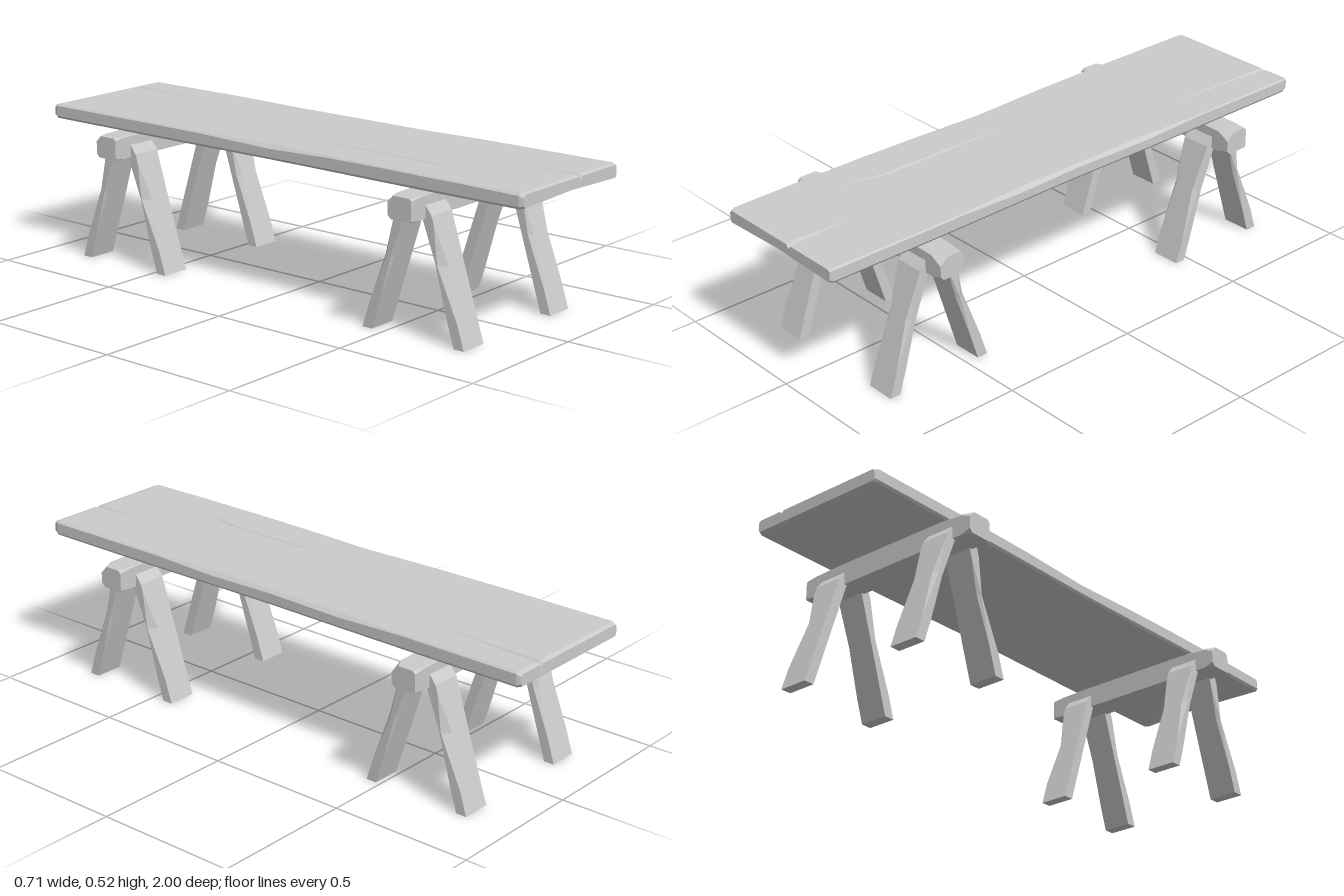
import * as THREE from 'three';

const material = new THREE.MeshStandardMaterial({ color: 0xcccccc, flatShading: true });

// Solid skinned through counter-clockwise [x, y] outlines stacked along z
function loft(sections) {
  const pos = [];
  const put = (s, i) => pos.push(s.pts[i][0], s.pts[i][1], s.z);
  const n = sections[0].pts.length;
  for (let j = 0; j < sections.length - 1; j++) {
    const lo = sections[j], hi = sections[j + 1];
    for (let i = 0; i < n; i++) {
      const k = (i + 1) % n;
      put(lo, i); put(lo, k); put(hi, k);
      put(lo, i); put(hi, k); put(hi, i);
    }
  }
  const cap = (s, flip) => {
    const outline = s.pts.map(([x, y]) => new THREE.Vector2(x, y));
    for (const [a, b, c] of THREE.ShapeUtils.triangulateShape(outline, [])) {
      put(s, a); put(s, flip ? c : b); put(s, flip ? b : c);
    }
  };
  cap(sections[0], true);
  cap(sections[sections.length - 1], false);
  const geo = new THREE.BufferGeometry();
  geo.setAttribute('position', new THREE.Float32BufferAttribute(pos, 3));
  geo.computeVertexNormals();
  return geo;
}

// Rectangle with its own chamfer on each corner: ++, -+, --, +-
function chippedRect(w, h, chips, cx = 0, cy = 0) {
  return [[1, 1], [-1, 1], [-1, -1], [1, -1]].flatMap(([sx, sy], i) => {
    const c = chips[i];
    const side = [cx + sx * w / 2, cy + sy * (h / 2 - c)];
    const end = [cx + sx * (w / 2 - c), cy + sy * h / 2];
    return sx * sy > 0 ? [side, end] : [end, side];
  });
}

function mesh(name, geo) {
  const m = new THREE.Mesh(geo, material);
  m.name = name;
  return m;
}

// Worn plank with three V-shaped cracks in its upper face
function plank() {
  // z, half width, end inset, left chip, right chip, half width of cracks A, B, C, front underside bow
  const rows = [
    [-1.0, 0.252, 0.005, 0.008, 0.008, 0, 0, 0.009, 0],
    [-0.985, 0.258, 0, 0.006, 0.006, 0, 0, 0.009, 0],
    [-0.56, 0.258, 0, 0.005, 0.004, 0, 0, 0, 0],
    [-0.3, 0.256, 0, 0.006, 0.013, 0, 0, 0, 0],
    [0.0, 0.252, 0, 0.014, 0.010, 0, 0, 0, 0],
    [0.25, 0.254, 0, 0.006, 0.014, 0.006, 0, 0, 0],
    [0.48, 0.257, 0, 0.004, 0.005, 0.006, 0, 0, 0],
    [0.65, 0.258, 0, 0.005, 0.005, 0, 0, 0, 0],
    [0.78, 0.258, 0, 0.005, 0.005, 0, 0, 0, 0.001],
    [0.98, 0.258, 0, 0.008, 0.006, 0, 0.010, 0, 0.006],
    [0.995, 0.252, 0.004, 0.010, 0.006, 0, 0.010, 0, 0.008],
  ];
  return loft(rows.map(([z, hw, inset, cl, cr, a, b, c, bow]) => {
    const bottom = 0.469 + inset, top = 0.519 - inset;
    const crack = (x, w) => [[x + w, top], [x, top - w * 1.1], [x - w, top]];
    const xA = z > 0.48 ? -0.11 - (z - 0.48) * 0.18 : -0.11;
    return { z, pts: [
      [0, bottom + bow], [hw - 0.006, bottom], [hw, bottom + 0.008],
      [hw, top - cr], [hw - cr, top],
      ...crack(0.13 - (z + 0.56) * 0.045, c), ...crack(0.05, b), ...crack(xA, a),
      [-hw + cl, top], [-hw, top - cl], [-hw, bottom + 0.008], [-hw + 0.006, bottom],
    ] };
  }));
}

// Splayed leg, foot towards +z; chips are deepest at mid height
function leg(chips) {
  const heights = [[0, 0], [0.08, 0], [0.25, 1], [0.38, 0], [0.405, 0], [0.44, 0]];
  return loft(heights.map(([y, wear], i) => {
    const cut = i === heights.length - 1 ? 0.016 : 0;  // bevelled outer top edge
    const z = 0.178 - 0.14 * y / 0.44 - cut / 2;
    return { z: y, pts: chippedRect(0.103, 0.038 - cut, chips.map(c => c * wear), 0, -z) };
  })).rotateX(-Math.PI / 2);
}

// Cross beam along x with knocked-off ends
function beam() {
  const rows = [
    [-0.357, [0.02, 0.008, 0.004, 0.012]],
    [-0.32, [0.006, 0.003, 0, 0]],
    [-0.2, [0, 0, 0, 0]],
    [0.2, [0, 0, 0, 0]],
    [0.315, [0.004, 0.003, 0, 0]],
    [0.357, [0.010, 0.026, 0.012, 0.004]],
  ];
  return loft(rows.map(([x, chips]) => ({ z: x, pts: chippedRect(0.09, 0.075, chips, 0, 0.43) })))
    .rotateY(Math.PI / 2);
}

function trestle(name) {
  const group = new THREE.Group();
  group.name = name;
  group.add(mesh('crossBeam', beam()));
  for (const [side, turn] of [['front', 0], ['back', Math.PI]]) {
    const pair = new THREE.Group();
    pair.name = side + 'Legs';
    pair.rotation.y = turn;
    const outer = mesh('chippedLeg', leg([0, 0.01, 0.025, 0]));
    outer.position.x = -0.234;
    const inner = mesh('wornLeg', leg([0.008, 0, 0.014, 0.014]));
    inner.position.x = 0.234;
    pair.add(outer, inner);
    group.add(pair);
  }
  return group;
}

export function createModel() {
  const model = new THREE.Group();
  model.name = 'trestleTable';
  model.add(mesh('tableTop', plank()));
  const front = trestle('frontTrestle');
  front.position.z = 0.614;
  const back = trestle('backTrestle');
  back.position.z = -0.642;
  model.add(front, back);
  return model;
}
